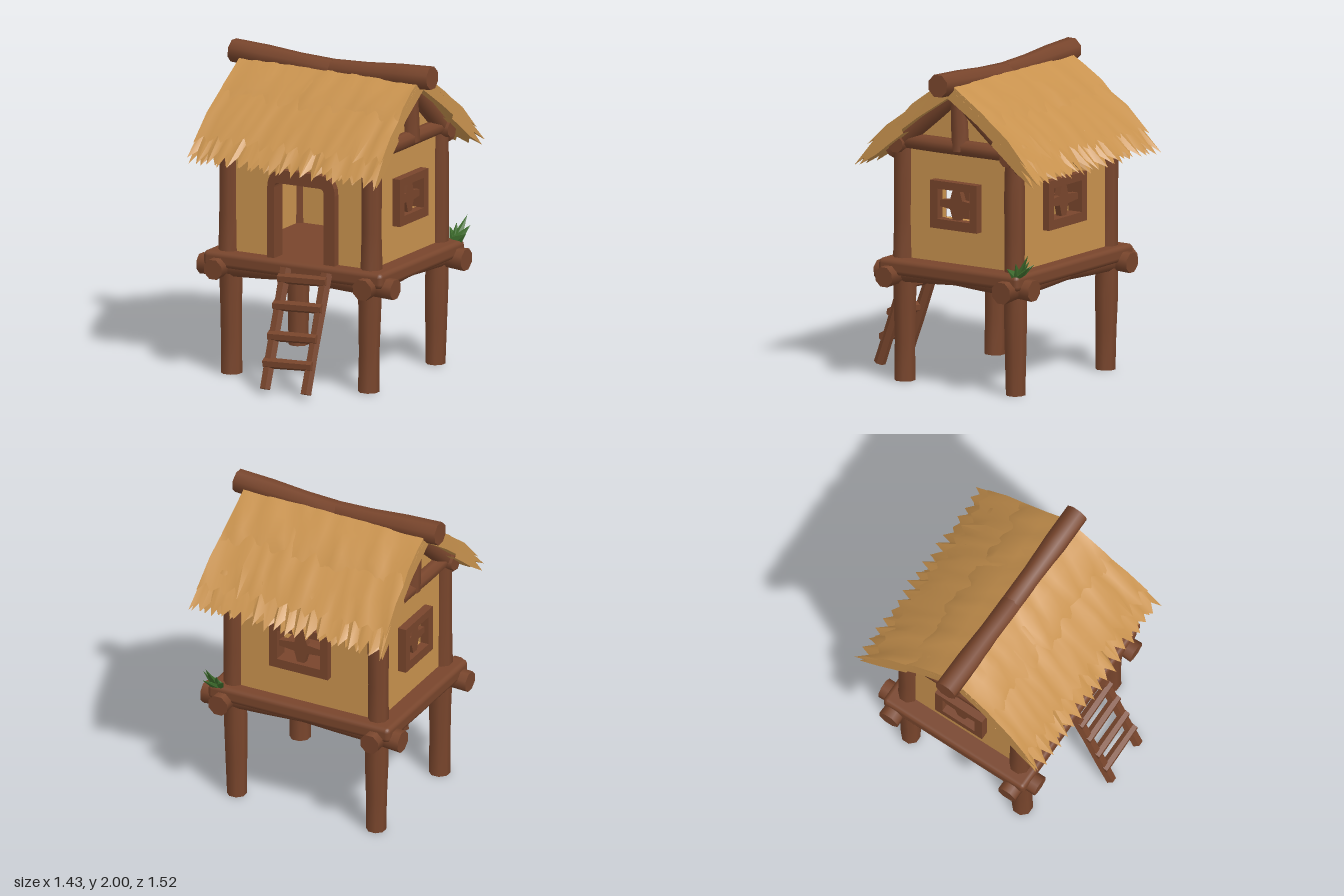
import * as THREE from 'three';
import { toCreasedNormals } from 'three/addons/utils/BufferGeometryUtils.js';
import { RoundedBoxGeometry } from 'three/addons/geometries/RoundedBoxGeometry.js';

const wood = new THREE.MeshStandardMaterial({ color: 0x78452c });
wood.name = 'brown wood';
const straw = new THREE.MeshStandardMaterial({ color: 0xc8924e, side: THREE.DoubleSide });
straw.name = 'tan straw';
const green = new THREE.MeshStandardMaterial({ color: 0x3f6f2e });
green.name = 'leaf green';

const MID = -0.04; // z of the ridge and of the house centre
const FRONT = 0.375, BACK = -0.455, SIDE = 0.505;

let seed = 7;
const rand = () => (seed = (seed * 16807) % 2147483647) / 2147483647;

const V = (x, y, z) => new THREE.Vector3(x, y, z);

export function createModel() {
  const model = new THREE.Group();

  const add = (name, geometry, material) => {
    const mesh = new THREE.Mesh(geometry, material);
    mesh.name = name;
    model.add(mesh);
    return mesh;
  };

  // A tapered, slightly uneven log from a to b
  const log = (name, a, b, ra, rb = ra, sides = 8) => {
    const dir = b.clone().sub(a);
    let g = new THREE.CylinderGeometry(rb, ra, dir.length(), sides, 3);
    g.rotateY(Math.PI / sides);
    const p = g.attributes.position;
    for (let i = 0; i < p.count; i++) {
      const k = 1 + 0.05 * Math.sin(p.getY(i) * 9 + a.x * 7 + a.z * 5);
      p.setX(i, p.getX(i) * k);
      p.setZ(i, p.getZ(i) * k);
    }
    g = toCreasedNormals(g, 0.9);
    const mesh = add(name, g, wood);
    mesh.position.copy(a).add(b).multiplyScalar(0.5);
    mesh.quaternion.setFromUnitVectors(V(0, 1, 0), dir.normalize());
    return mesh;
  };

  // Flat outlines, with optional rounded top corners
  const outline = (x0, x1, y0, y1, r = 0, Type = THREE.Shape) => {
    const s = new Type();
    s.moveTo(x0, y0);
    s.lineTo(x1, y0);
    s.lineTo(x1, y1 - r);
    if (r) s.quadraticCurveTo(x1, y1, x1 - r, y1);
    s.lineTo(x0 + r, y1);
    if (r) s.quadraticCurveTo(x0, y1, x0, y1 - r);
    s.lineTo(x0, y0);
    return s;
  };
  const hole = (...a) => outline(a[0], a[1], a[2], a[3], a[4] || 0, THREE.Path);
  const panel = (name, material, shape, depth, holes) => {
    shape.holes.push(...holes);
    const g = new THREE.ExtrudeGeometry(shape, { depth, bevelEnabled: false, curveSegments: 5 });
    g.translate(0, 0, -depth / 2);
    return add(name, g, material);
  };
  const onSide = (mesh, x) => { // turns a front panel so that its x runs along z
    mesh.rotation.y = -Math.PI / 2;
    mesh.position.x = x;
  };

  // Deck, its beams and the legs
  const deck = add('deck', new RoundedBoxGeometry(1.27, 0.1, 1.05, 2, 0.03), wood);
  deck.position.set(0, 0.73, MID);
  for (const z of [0.4, -0.48]) {
    log('deckCrossBeam', V(0, 0.7, z), V(-0.69, 0.675, z), 0.055, 0.07);
    log('deckCrossBeam', V(0, 0.7, z), V(0.69, 0.675, z), 0.055, 0.07);
  }
  for (const x of [-0.53, 0.53]) {
    log('deckSideBeam', V(x, 0.705, MID), V(x, 0.68, 0.54), 0.055, 0.07);
    log('deckSideBeam', V(x, 0.705, MID), V(x, 0.68, -0.62), 0.055, 0.07);
  }
  for (const s of [-1, 1]) for (const z of [FRONT, BACK]) {
    log('leg', V(s * 0.487, 0, z + 0.005), V(s * 0.495, 0.72, z), 0.064, 0.073);
    log('cornerPost', V(s * SIDE, 0.76, z), V(s * SIDE, 1.53, z), 0.066, 0.062);
  }

  // Front wall with arched doorway
  panel('frontWall', straw, outline(-0.5, 0.5, 0.72, 1.55), 0.04,
    [hole(-0.16, 0.21, 0.74, 1.27, 0.04)]).position.z = FRONT;
  panel('doorFrame', wood, outline(-0.2, 0.28, 0.72, 1.345, 0.12), 0.1,
    [hole(-0.15, 0.2, 0.74, 1.26, 0.03)]).position.z = FRONT + 0.015;

  // Window frame with crossed bars; c is the centre of the opening
  const windowAt = (c, w, h) => {
    const frame = outline(c - w - 0.055, c + w + 0.055, 1.155 - h - 0.06, 1.155 + h + 0.05);
    const parts = [panel('windowFrame', wood, frame, 0.1, [hole(c - w, c + w, 1.155 - h, 1.155 + h)])];
    const bars = new THREE.Shape();
    const pts = [[w, 0.02], [0.045, 0.03], [0.025, h], [-0.025, h], [-0.045, 0.03], [-w, 0.02],
      [-w, -0.02], [-0.045, -0.03], [-0.025, -h], [0.025, -h], [0.045, -0.03], [w, -0.02]];
    bars.setFromPoints(pts.map(([x, y]) => new THREE.Vector2(c + x, 1.155 + y)));
    parts.push(panel('windowBars', wood, bars, 0.04, []));
    return parts;
  };

  // Back wall and window
  panel('backWall', straw, outline(-0.5, 0.5, 0.74, 1.55), 0.04,
    [hole(-0.14, 0.18, 1.05, 1.26)]).position.z = BACK;
  windowAt(0.02, 0.15, 0.1).forEach((m) => { m.position.z = BACK - 0.015; });

  // Side walls with gables, windows and roof timbers
  for (const s of [-1, 1]) {
    const wall = new THREE.Shape([[BACK, 0.74], [FRONT, 0.74], [FRONT, 1.53], [MID, 1.86], [BACK, 1.53]]
      .map(([z, y]) => new THREE.Vector2(z, y)));
    onSide(panel('sideWall', straw, wall, 0.04, [hole(MID - 0.12, MID + 0.12, 1.06, 1.25)]), s * 0.495);
    windowAt(MID, 0.12, 0.095).forEach((m) => onSide(m, s * 0.52));
    const x = s * 0.53;
    log('gableBeam', V(x, 1.52, BACK - 0.02), V(x, 1.52, FRONT + 0.02), 0.05);
    log('kingPost', V(x, 1.5, MID - 0.03), V(x, 1.88, MID - 0.01), 0.055);
    log('frontRafter', V(x, 1.44, 0.45), V(x, 1.86, MID), 0.055);
    log('backRafter', V(x, 1.44, -0.53), V(x, 1.86, MID), 0.055);
  }
  for (const z of [FRONT, BACK]) log('eaveBeam', V(-0.6, 1.5, z), V(0.6, 1.5, z), 0.055);

  // Ridge log, sagging in the middle
  log('ridgeLog', V(0, 1.895, -0.03), V(-0.715, 1.93, -0.04), 0.068, 0.074);
  log('ridgeLog', V(0, 1.895, -0.03), V(0.71, 1.93, -0.02), 0.068, 0.074);

  // One layer of thatch with a ragged lower edge: u runs from ridge (0) to eave (1)
  const thatch = (dir, u0, u1, lift, thick, jag, columns) => {
    const run = dir > 0 ? 0.66 : 0.685;
    const pos = [], idx = [];
    const put = (x, u, off) => pos.push(
      x * (0.635 + 0.045 * Math.max(0, u - 0.3)),
      1.915 - 0.4 * u - 0.09 * u * u + off,
      MID + dir * (run * u + off * 0.5));
    for (let i = 0; i <= columns; i++) {
      const x = -1 + 2 * i / columns;
      const tip = u1 + (i % 2 ? -1 : 1) * jag * (0.35 + 0.65 * rand());
      const us = [0, 0.4, 0.8].map((t) => u0 + (u1 - jag - u0) * t);
      us.forEach((u, k) => put(x, u, lift + (k ? 0.016 * (rand() - 0.5) : 0)));
      put(x, tip, lift - thick * (0.3 + 0.5 * rand()));
      us.reverse().forEach((u) => put(x, u, lift - thick));
    }
    for (let i = 0; i < columns; i++) for (let k = 0; k < 6; k++) {
      const a = i * 7 + k, b = a + 7;
      idx.push(a, b, a + 1, b, b + 1, a + 1);
    }
    for (const e of [0, columns * 7]) { // closed ends
      for (const t of [[0, 1, 5], [0, 5, 6], [1, 2, 4], [1, 4, 5], [2, 3, 4]]) {
        const [a, b, c] = t.map((n) => n + e);
        if (e) idx.push(a, c, b); else idx.push(a, b, c);
      }
    }
    const g = new THREE.BufferGeometry();
    g.setAttribute('position', new THREE.Float32BufferAttribute(pos, 3));
    g.setIndex(idx);
    add(dir > 0 ? 'frontThatch' : 'backThatch', toCreasedNormals(g, 0.7), straw);
  };
  for (const dir of [1, -1]) {
    thatch(dir, 0, 0.99, 0.0, 0.055, 0.07, 36);
    thatch(dir, 0.55, 0.97, -0.03, 0.05, 0.06, 30);
    thatch(dir, 0.02, 0.86, 0.017, 0.03, 0.05, 28);
    thatch(dir, 0.02, 0.5, 0.026, 0.03, 0.03, 22);
  }

  // Leaning ladder
  const ladderZ = (y) => 0.735 - (y - 0.03) * 0.36;
  for (const x of [-0.045, 0.245]) {
    log('ladderRail', V(x, 0.025, ladderZ(0.025)), V(x, 0.74, ladderZ(0.74)), 0.036, 0.04, 6);
  }
  for (const y of [0.19, 0.35, 0.53, 0.69]) {
    log('ladderRung', V(-0.07, y - 0.008, ladderZ(y) + 0.02), V(0.27, y + 0.008, ladderZ(y) + 0.02), 0.033, 0.033, 6);
  }

  // Tuft of leaves at the back corner
  const root = V(0.58, 0.76, -0.53);
  for (const [x, y, z] of [[0.61, 0.92, -0.63], [0.66, 0.87, -0.57], [0.55, 0.87, -0.6],
    [0.67, 0.83, -0.51], [0.5, 0.84, -0.6], [0.62, 0.85, -0.65]]) {
    const dir = V(x, y, z).sub(root);
    const g = new THREE.ConeGeometry(0.045, dir.length(), 5);
    g.scale(1, 1, 0.45);
    const leaf = add('leaf', toCreasedNormals(g, 0.6), green);
    leaf.position.copy(root).addScaledVector(dir, 0.5);
    leaf.quaternion.setFromUnitVectors(V(0, 1, 0), dir.normalize());
  }

  return model;
}
